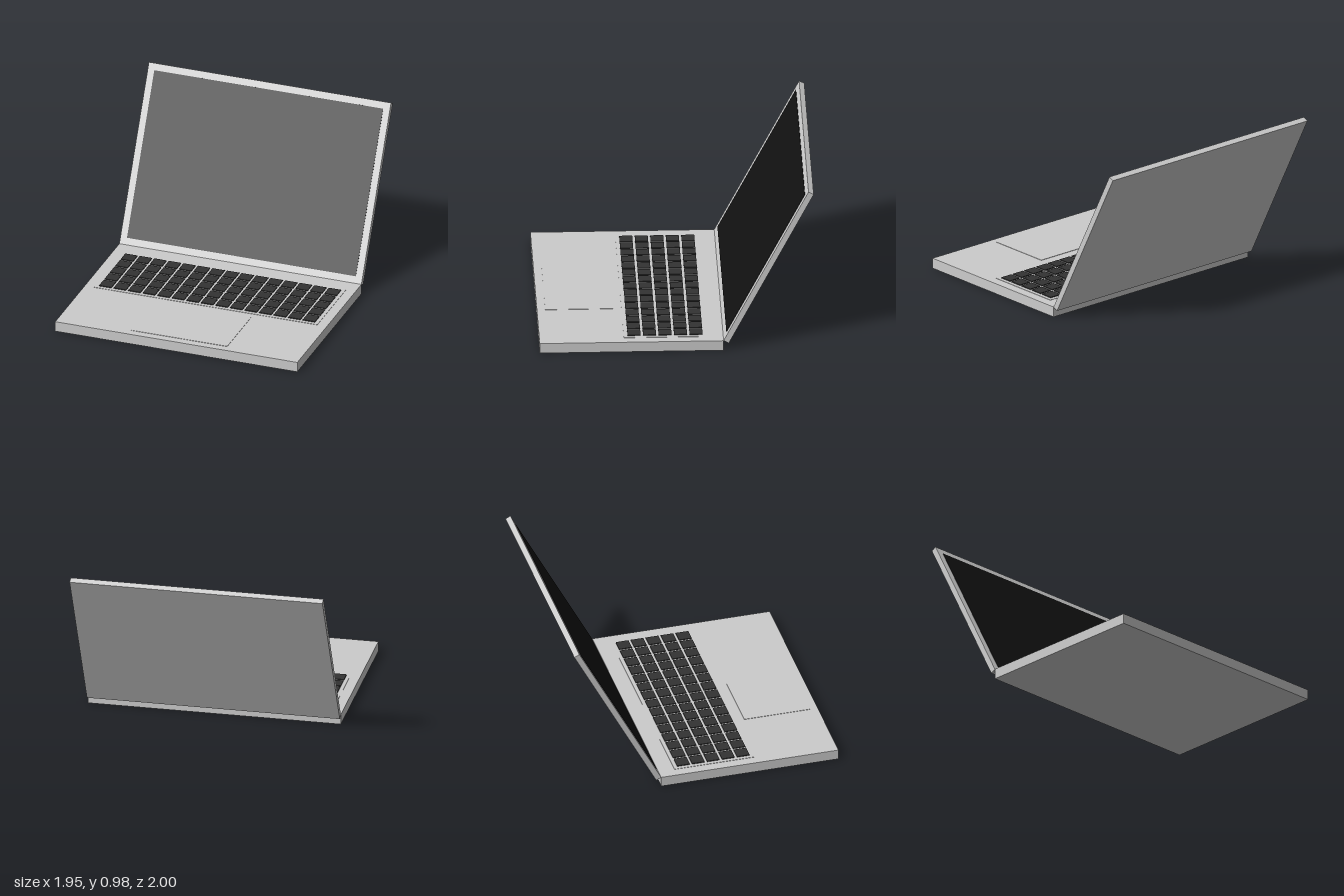
import * as THREE from 'three';

const grey = new THREE.MeshStandardMaterial({ color: 0xcccccc });
const padGrey = new THREE.MeshStandardMaterial({ color: 0xf5f5f5 });
const keyBlack = new THREE.MeshStandardMaterial({ color: 0x333333 });
const screenBlack = new THREE.MeshStandardMaterial({ color: 0x111111 });

const WIDTH = 1.46, DEPTH = 1.04, BASE_H = 0.06;
const LID_T = 0.033, LID_TILT = THREE.MathUtils.degToRad(27.5), BEZEL = 0.04;

function box(name, material, size, position, parent) {
  const mesh = new THREE.Mesh(new THREE.BoxGeometry(...size), material);
  mesh.name = name;
  mesh.position.set(...position);
  parent.add(mesh);
  return mesh;
}

function buildKeyboard(parent) {
  const keyboard = new THREE.Group();
  keyboard.name = 'keyboard';
  keyboard.position.set(0, BASE_H, -0.192);
  parent.add(keyboard);

  const columns = 15, rows = 5, pitch = 0.0877, gap = 0.014;
  box('keyboardPlate', grey, [columns * pitch + 0.03, 0.004, rows * pitch + 0.03], [0, 0, 0], keyboard);
  for (let r = 0; r < rows; r++) {
    for (let c = 0; c < columns; c++) {
      box('key', keyBlack, [pitch - gap, 0.008, pitch - gap],
        [(c - (columns - 1) / 2) * pitch, 0.003, (r - (rows - 1) / 2) * pitch], keyboard);
    }
  }
}

export function createModel() {
  const model = new THREE.Group();
  model.name = 'laptop';

  // Whole laptop is turned about the vertical axis
  const body = new THREE.Group();
  body.name = 'body';
  body.position.set(0.099, 0, 0.234);
  body.rotation.y = THREE.MathUtils.degToRad(23);
  model.add(body);

  // Base with keyboard and touchpad
  box('base', grey, [WIDTH, BASE_H, DEPTH], [0, BASE_H / 2, 0], body);
  buildKeyboard(body);
  box('touchpad', padGrey, [0.58, 0.004, 0.384], [0, BASE_H, 0.281], body);

  // Lid hinged on the top back edge of the base
  const lid = new THREE.Group();
  lid.name = 'lid';
  lid.position.set(0, BASE_H, -DEPTH / 2);
  lid.rotation.x = -LID_TILT;
  body.add(lid);
  box('lidShell', grey, [WIDTH, DEPTH, LID_T], [0, DEPTH / 2, -LID_T / 2], lid);
  box('screen', screenBlack, [WIDTH - 2 * BEZEL, DEPTH - 2 * BEZEL, 0.004], [0, DEPTH / 2, 0], lid);

  return model;
}
